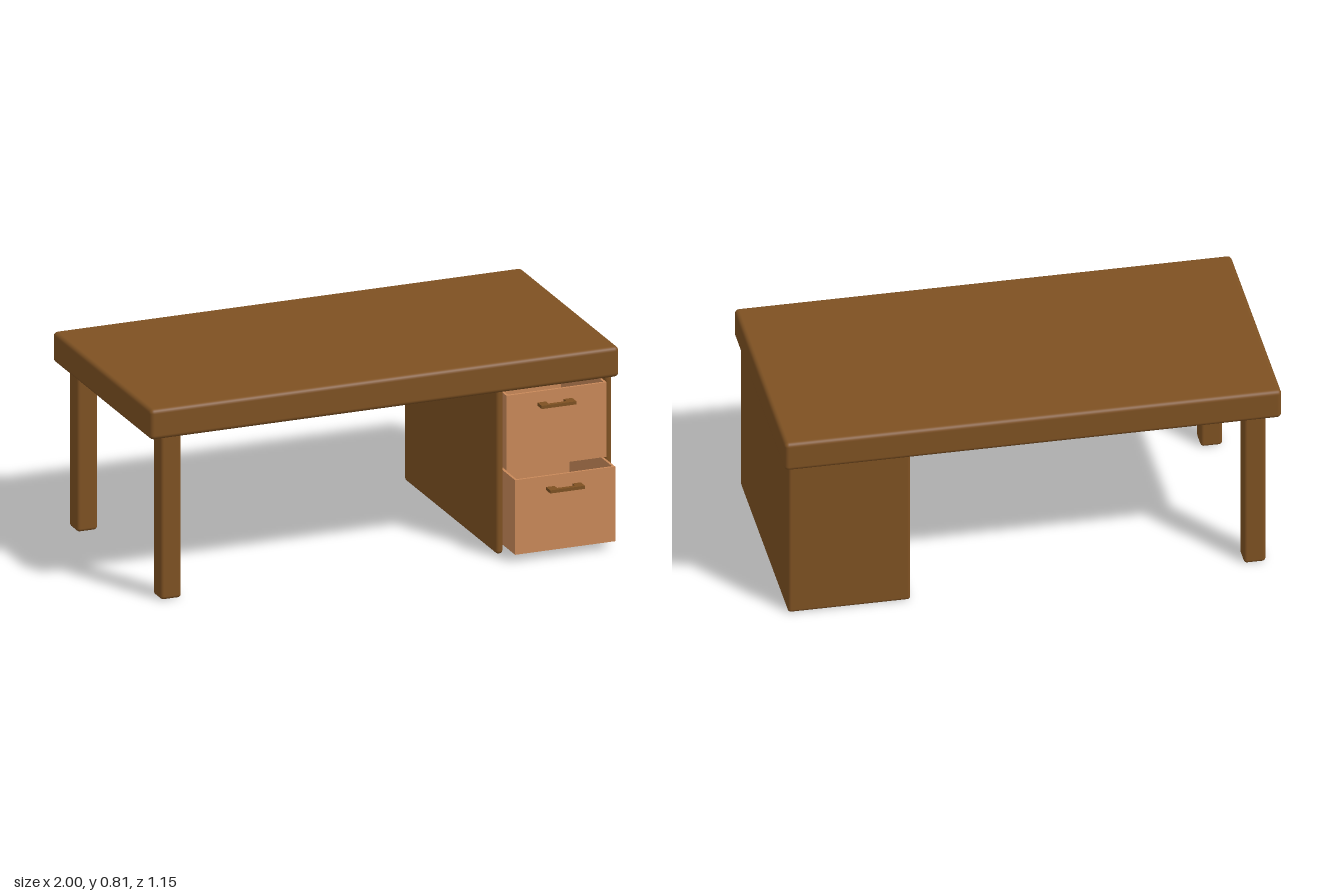
import * as THREE from 'three';
import { RoundedBoxGeometry } from 'three/addons/geometries/RoundedBoxGeometry.js';

export function createModel() {
  const darkWood = new THREE.MeshStandardMaterial({ color: 0x7e5122 });
  darkWood.name = 'darkWood';
  const lightWood = new THREE.MeshStandardMaterial({ color: 0xc98959 });
  lightWood.name = 'lightWood';

  const model = new THREE.Group();
  model.name = 'desk';

  // Block given by its min and max corners, with optional rounded edges
  function block(parent, name, material, [x0, y0, z0], [x1, y1, z1], radius = 0) {
    const size = [x1 - x0, y1 - y0, z1 - z0];
    const geometry = radius
      ? new RoundedBoxGeometry(...size, 3, radius)
      : new THREE.BoxGeometry(...size);
    const mesh = new THREE.Mesh(geometry, material);
    mesh.name = name;
    mesh.position.set((x0 + x1) / 2, (y0 + y1) / 2, (z0 + z1) / 2);
    parent.add(mesh);
    return mesh;
  }

  // Table top
  block(model, 'tableTop', darkWood, [-1, 0.685, -0.575], [1, 0.812, 0.447], 0.018);

  // Two legs on the right
  block(model, 'frontLeg', darkWood, [-0.942, 0, 0.328], [-0.855, 0.695, 0.415], 0.013);
  block(model, 'backLeg', darkWood, [-0.942, 0, -0.542], [-0.855, 0.695, -0.455], 0.013);

  // Drawer cabinet: two sides and a back, open below and in front
  const cabinet = new THREE.Group();
  cabinet.name = 'cabinet';
  model.add(cabinet);
  block(cabinet, 'innerSide', darkWood, [0.487, 0, -0.542], [0.517, 0.695, 0.415], 0.013);
  block(cabinet, 'outerSide', darkWood, [0.95, 0, -0.542], [0.98, 0.695, 0.415], 0.013);
  block(cabinet, 'cabinetBack', darkWood, [0.487, 0, -0.542], [0.98, 0.695, -0.512], 0.013);

  // Open-topped drawer with a bracket handle
  function drawer(name, bottom, front) {
    const g = new THREE.Group();
    g.name = name;
    const left = 0.52, right = 0.947, top = bottom + 0.312, back = front - 0.46, t = 0.01;
    block(g, 'drawerFront', lightWood, [left, bottom, front - t], [right, top, front]);
    block(g, 'drawerBack', lightWood, [left, bottom, back], [right, top, back + t]);
    block(g, 'drawerSide', lightWood, [left, bottom, back + t], [left + t, top, front - t]);
    block(g, 'drawerSide', lightWood, [right - t, bottom, back + t], [right, top, front - t]);
    block(g, 'drawerFloor', lightWood,
      [left + t, bottom, back + t], [right - t, bottom + 0.125, front - t]);

    // Flat U-shaped handle
    const y0 = bottom + 0.253, y1 = y0 + 0.013, tip = front + 0.044;
    for (const x of [0.652, 0.764]) {
      block(g, 'handlePost', darkWood, [x, y0, front], [x + 0.036, y1, tip - 0.018]);
    }
    block(g, 'handleBar', darkWood, [0.652, y0, tip - 0.018], [0.8, y1, tip]);
    model.add(g);
  }
  drawer('upperDrawer', 0.357, 0.441);
  drawer('lowerDrawer', 0.033, 0.531);

  return model;
}
